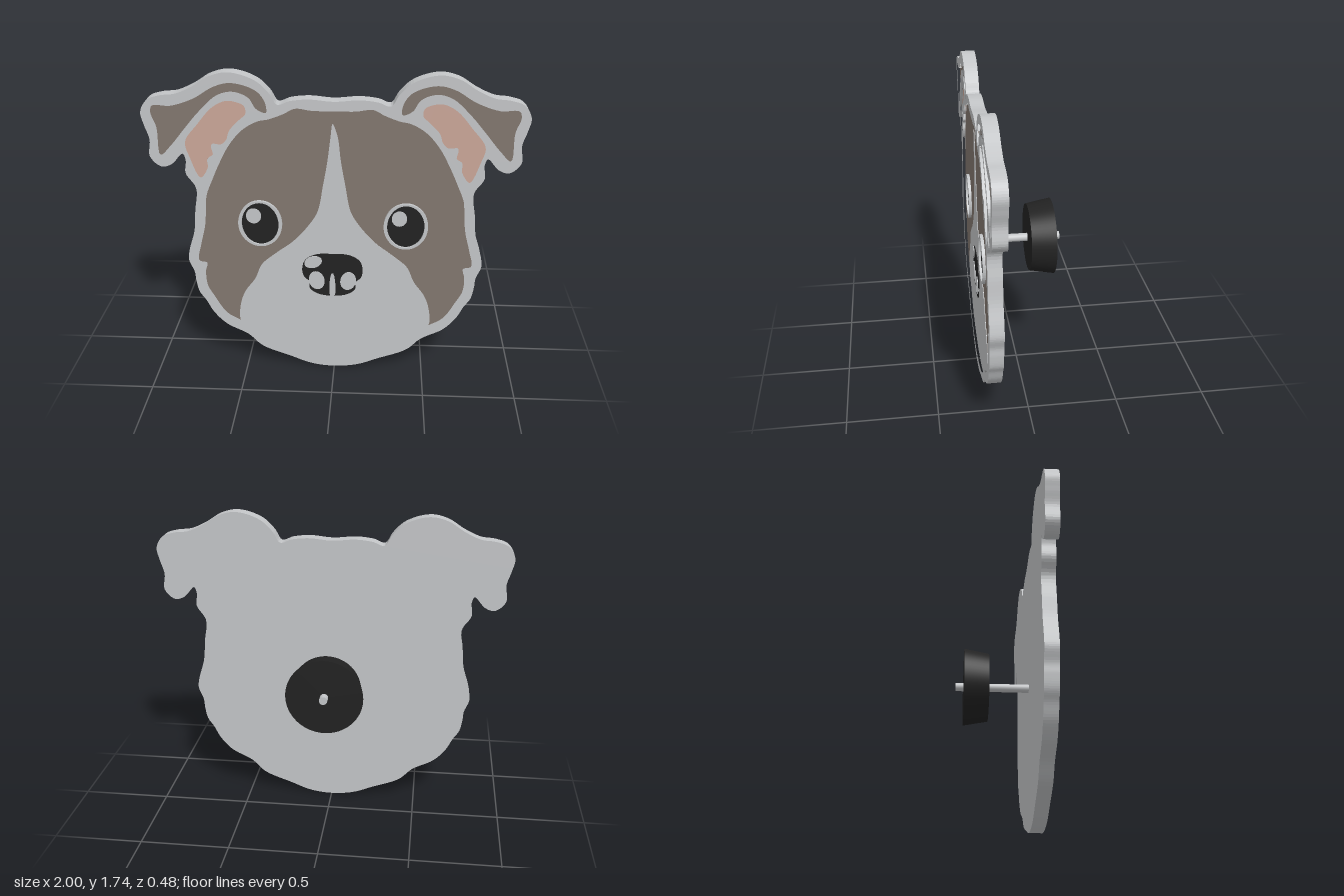
import * as THREE from 'three';

const material = (name, color, extra = {}) =>
  Object.assign(new THREE.MeshStandardMaterial({ color, ...extra }), { name });

// Smooth closed outline through a few points
function outline(points, divisions = 6) {
  const curve = new THREE.CatmullRomCurve3(
    points.map(([x, y]) => new THREE.Vector3(x, y, 0)), true, 'centripetal');
  const n = points.length * divisions;
  const pts = curve.getPoints(n).slice(0, n);
  return pts.map(p => new THREE.Vector2(p.x, p.y));
}

const mirrored = points => points.map(([x, y]) => [-x, y]).reverse();

// Right half running from top centre to bottom centre, closed by its mirror image
const symmetric = half => [...half, ...mirrored(half.slice(1, -1))];

const ellipse = (x, y, rx, ry, rotation = 0) =>
  new THREE.EllipseCurve(x, y, rx, ry, 0, Math.PI * 2, false, rotation).getPoints(48).slice(0, 48);

// Flat part between two depths, with optional holes
function slab(name, points, z0, z1, mat, holes = []) {
  const shape = new THREE.Shape(points);
  shape.holes = holes.map(h => new THREE.Path(h));
  const geometry = new THREE.ExtrudeGeometry(shape, { depth: z1 - z0, bevelEnabled: false });
  geometry.translate(0, 0, z0);
  const mesh = new THREE.Mesh(geometry, mat);
  mesh.name = name;
  return mesh;
}

const HEAD = [
  [0, 1.59], [0.13, 1.6], [0.225, 1.59], [0.29, 1.57], [0.33, 1.63], [0.4, 1.695],
  [0.53, 1.735], [0.63, 1.715], [0.72, 1.66], [0.81, 1.62], [0.89, 1.61], [0.96, 1.585],
  [0.998, 1.52], [0.985, 1.45], [0.962, 1.37], [0.968, 1.275], [0.91, 1.22], [0.855, 1.235],
  [0.795, 1.295], [0.78, 1.26], [0.785, 1.185], [0.735, 1.1], [0.748, 0.97], [0.76, 0.85],
  [0.795, 0.73], [0.802, 0.67], [0.775, 0.595], [0.77, 0.54], [0.755, 0.47], [0.72, 0.415],
  [0.68, 0.34], [0.61, 0.265], [0.49, 0.2], [0.41, 0.125], [0.25, 0.06], [0.13, 0.015], [0, 0]];

const CHIN = [[0.53, 0.28], [0.45, 0.235], [0.33, 0.135], [0.17, 0.08], [0, 0.055]];

const FACE = [
  [0, 1.54], [0.11, 1.54], [0.2, 1.55], [0.26, 1.52], [0.34, 1.49], [0.39, 1.48], [0.47, 1.435],
  [0.545, 1.35], [0.605, 1.24], [0.65, 1.14], [0.685, 1.05], [0.695, 0.945], [0.705, 0.865],
  [0.73, 0.765], [0.748, 0.66], [0.705, 0.645], [0.715, 0.595], [0.71, 0.505], [0.675, 0.435],
  [0.61, 0.33], ...CHIN];

const MUZZLE = [
  [-0.008, 1.467], [0.018, 1.4], [0.035, 1.265], [0.06, 1.12], [0.09, 0.97], [0.145, 0.88],
  [0.225, 0.79], [0.315, 0.72], [0.4, 0.645], [0.44, 0.555], [0.5, 0.47], [0.53, 0.38], ...CHIN];

const EAR_FLAP = [
  [0.35, 1.52], [0.35, 1.575], [0.395, 1.64], [0.52, 1.68], [0.61, 1.66], [0.72, 1.595],
  [0.84, 1.555], [0.935, 1.555], [0.95, 1.515], [0.925, 1.435], [0.915, 1.28], [0.855, 1.335],
  [0.785, 1.42], [0.695, 1.525], [0.6, 1.61], [0.52, 1.63], [0.44, 1.6], [0.4, 1.54]];

const INNER_EAR = [
  [0.455, 1.515], [0.46, 1.56], [0.5, 1.58], [0.555, 1.585], [0.625, 1.55], [0.705, 1.46],
  [0.78, 1.355], [0.76, 1.265], [0.71, 1.155], [0.665, 1.22], [0.665, 1.265], [0.635, 1.29],
  [0.64, 1.345], [0.59, 1.345], [0.56, 1.375], [0.545, 1.42], [0.49, 1.48]];

const NOSE = [
  [0, 0.72], [0.09, 0.715], [0.15, 0.68], [0.167, 0.62], [0.155, 0.575], [0.128, 0.55],
  [0.125, 0.505], [0.08, 0.472], [0, 0.46]];

export function createModel() {
  const model = new THREE.Group();
  model.name = 'dogHeadStopper';
  const light = material('light grey', 0xc4c6c8);
  const brown = material('brown', 0x82776f);
  const pink = material('pink', 0xcba799);
  const black = material('black', 0x222222);

  const BACK = 0.165, FLOOR = 0.22, FRONT = 0.24;
  const head = outline(symmetric(HEAD));
  const face = outline(symmetric(FACE));
  const flaps = [EAR_FLAP, mirrored(EAR_FLAP)].map(p => outline(p));
  const innerEars = [INNER_EAR, mirrored(INNER_EAR)].map(p => outline(p));

  // Backing plate and raised rim with pockets for the colours
  model.add(slab('backPlate', head, BACK, FLOOR, light));
  model.add(slab('rim', head, FLOOR, FRONT, light, [face, ...flaps, ...innerEars]));

  // Coloured pocket floors
  model.add(slab('faceFur', face, FLOOR, FLOOR + 0.004, brown));
  flaps.forEach(p => model.add(slab('earFlap', p, FLOOR, FLOOR + 0.004, brown)));
  innerEars.forEach(p => model.add(slab('innerEar', p, FLOOR, FLOOR + 0.004, pink)));
  model.add(slab('muzzleAndBlaze', outline(symmetric(MUZZLE)), FLOOR + 0.002, FLOOR + 0.007, light));

  // Eyes: raised ring, dark pupil and a highlight on the same side of each
  for (const x of [-0.4, 0.385]) {
    const eye = new THREE.Group();
    eye.name = 'eye';
    const y = 0.897;
    eye.add(slab('eyeRing', ellipse(x, y, 0.119, 0.134), FLOOR, FRONT, light, [ellipse(x, y, 0.1, 0.123)]));
    eye.add(slab('pupil', ellipse(x, y, 0.1, 0.123), FLOOR + 0.002, FLOOR + 0.008, black));
    eye.add(slab('eyeHighlight', ellipse(x - 0.035, y + 0.043, 0.041, 0.044), FLOOR + 0.005, FLOOR + 0.012, light));
    model.add(eye);
  }

  // Nose with nostrils, centre groove and highlight
  const nose = new THREE.Group();
  nose.name = 'nose';
  const z0 = FLOOR + 0.008, z1 = FLOOR + 0.016;
  nose.add(slab('noseBody', outline(symmetric(NOSE)), FLOOR + 0.005, FLOOR + 0.012, black));
  for (const s of [-1, 1]) {
    nose.add(slab('nostril', ellipse(s * 0.087, 0.557, 0.043, 0.056, s * -0.2), z0, z1, light));
  }
  nose.add(slab('noseGroove', outline([[-0.011, 0.46], [0.011, 0.46], [0.005, 0.6], [-0.005, 0.6]]), z0, z1, light));
  nose.add(slab('noseHighlight', ellipse(-0.106, 0.67, 0.05, 0.035, 0.35), z0, z1, light));
  nose.position.x = -0.01;
  model.add(nose);

  // Rod and tapered stopper behind the head
  const rod = new THREE.Mesh(new THREE.CylinderGeometry(0.023, 0.023, 0.42, 32), light);
  rod.name = 'rod';
  rod.rotation.x = Math.PI / 2;
  rod.position.set(0, 0.807, -0.035);
  const stopper = new THREE.Mesh(new THREE.CylinderGeometry(0.19, 0.215, 0.137, 64), black);
  stopper.name = 'stopper';
  stopper.rotation.x = Math.PI / 2;
  stopper.position.set(0, 0.807, -0.1315);
  model.add(rod, stopper);

  return model;
}
